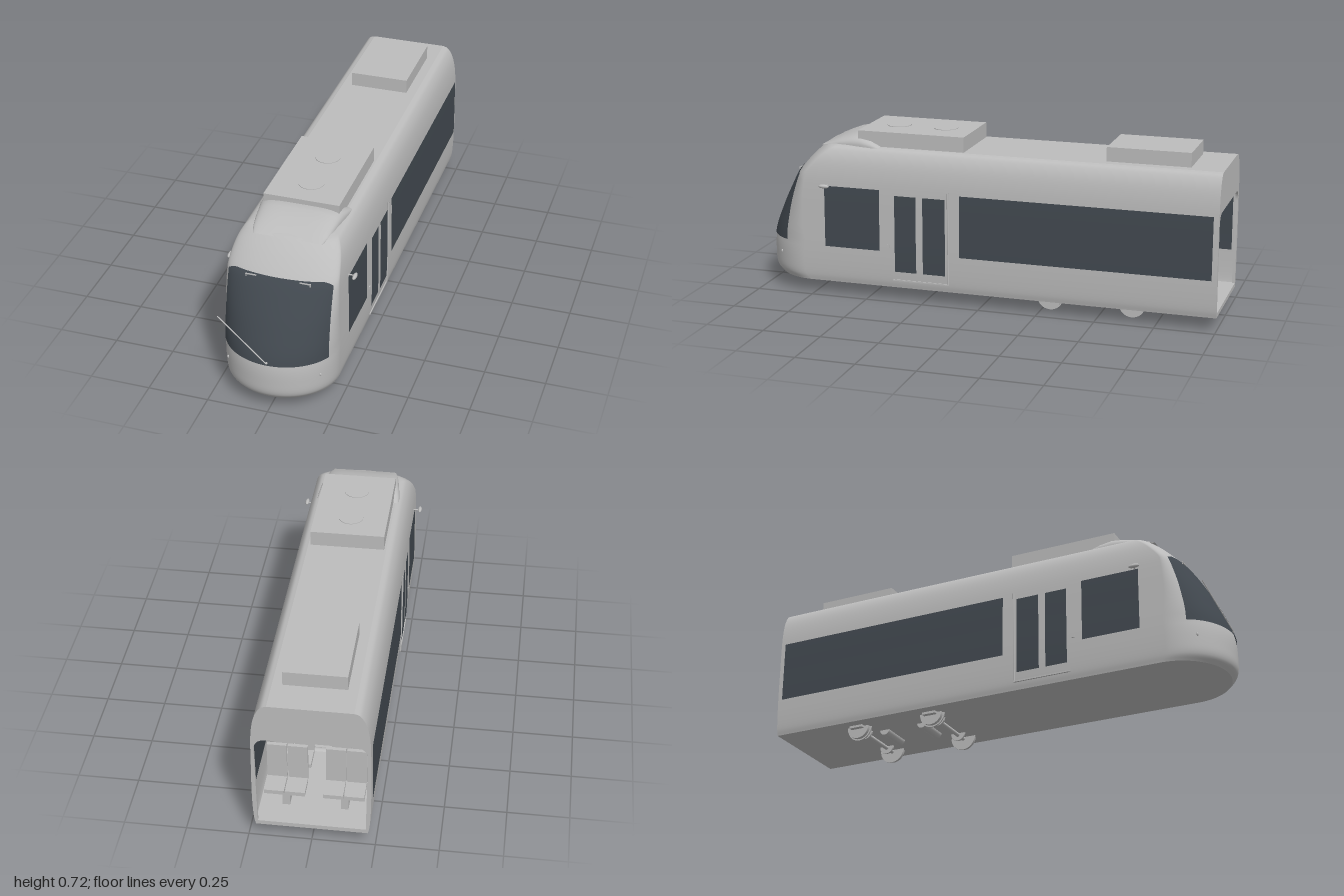
import * as THREE from 'three';

const mat = (name, color) => Object.assign(new THREE.MeshStandardMaterial({ color, side: THREE.DoubleSide }), { name });
const grey = mat('light grey', 0xbcbcbc);
const glass = mat('dark glass', 0x424950);

// Body profile: half-width, height, nose position; sampled from a smooth curve
const profile = new THREE.CatmullRomCurve3([
  [0.220, 0.057, 0.972], [0.226, 0.085, 0.995], [0.230, 0.14, 1.0], [0.232, 0.23, 0.993],
  [0.231, 0.35, 0.945], [0.230, 0.45, 0.892], [0.226, 0.53, 0.842], [0.215, 0.59, 0.79],
  [0.200, 0.625, 0.752], [0.185, 0.643, 0.728], [0.165, 0.65, 0.71],
].map(p => new THREE.Vector3(...p))).getPoints(50);

function at(y) {
  let i = 1;
  while (i < profile.length - 1 && profile[i].y < y) i++;
  const a = profile[i - 1], b = profile[i];
  const p = a.clone().lerp(b, THREE.MathUtils.clamp((y - a.y) / (b.y - a.y), 0, 1));
  // depth of the rounded nose in plan
  const depth = THREE.MathUtils.mapLinear(THREE.MathUtils.clamp(y, 0.23, 0.52), 0.23, 0.52, 0.21, 0.07);
  return { w: p.x, nose: p.z, depth };
}

// Surface from a rule f(u, v) -> [x, y, z]
function grid(nu, nv, f) {
  const pos = [], idx = [];
  for (let j = 0; j <= nv; j++) for (let i = 0; i <= nu; i++) pos.push(...f(i / nu, j / nv));
  for (let j = 0; j < nv; j++) for (let i = 0; i < nu; i++) {
    const a = j * (nu + 1) + i, b = a + nu + 1;
    idx.push(a, a + 1, b, a + 1, b + 1, b);
  }
  const g = new THREE.BufferGeometry();
  g.setAttribute('position', new THREE.Float32BufferAttribute(pos, 3));
  g.setIndex(idx);
  g.computeVertexNormals();
  return g;
}

// Plan outline at one height, from rear right round the nose to rear left
const ARC = 40;
function outline(y) {
  const { w, nose, depth } = at(y), pts = [[w, -1]];
  for (let i = 0; i <= ARC; i++) {
    const a = Math.PI * i / ARC;
    pts.push([w * Math.cos(a), nose - depth + depth * Math.sin(a)]);
  }
  pts.push([-w, -1]);
  return pts;
}

export function createModel() {
  const root = new THREE.Group();
  const add = (name, geo, m = grey, x = 0, y = 0, z = 0, parent = root) => {
    const mesh = new THREE.Mesh(geo, m);
    mesh.name = name;
    mesh.position.set(x, y, z);
    parent.add(mesh);
    return mesh;
  };
  const box = (name, w, h, d, x, y, z, parent) => add(name, new THREE.BoxGeometry(w, h, d), grey, x, y, z, parent);
  const rod = (name, a, b, r) => add(name, new THREE.TubeGeometry(
    new THREE.LineCurve3(new THREE.Vector3(...a), new THREE.Vector3(...b)), 1, r, 8));

  // Body shell with roof and underside
  const rings = profile.map(p => outline(p.y));
  add('bodyShell', grid(ARC + 2, profile.length - 1, (u, v) => {
    const j = Math.round(v * (profile.length - 1)), p = rings[j][Math.round(u * (ARC + 2))];
    return [p[0], profile[j].y, p[1]];
  }));
  for (const [name, y] of [['underside', 0.057], ['roof', 0.65]]) {
    const shape = new THREE.Shape(outline(y).map(p => new THREE.Vector2(p[0], -p[1])));
    add(name, new THREE.ShapeGeometry(shape).rotateX(-Math.PI / 2), grey, 0, y, 0);
  }

  // Open rear frame
  const side = profile.map(p => new THREE.Vector2(p.x, p.y));
  const rear = new THREE.Shape([...side, ...side.map(p => new THREE.Vector2(-p.x, p.y)).reverse()]);
  const hole = new THREE.Path();
  hole.moveTo(-0.212, 0.075).lineTo(0.212, 0.075).lineTo(0.218, 0.44);
  hole.quadraticCurveTo(0.217, 0.485, 0.17, 0.487).lineTo(-0.17, 0.487);
  hole.quadraticCurveTo(-0.217, 0.485, -0.218, 0.44).lineTo(-0.212, 0.075);
  rear.holes.push(hole);
  add('rearFrame', new THREE.ExtrudeGeometry(rear, { depth: 0.012, bevelEnabled: false }), grey, 0, 0, -1);
  box('cabinFloor', 0.44, 0.01, 1.74, 0, 0.07, -0.12);
  box('ceiling', 0.445, 0.008, 1.6, 0, 0.492, -0.19);

  // Windscreen, seen from outside and inside
  for (const off of [0.004, -0.006]) {
    add('windscreen', grid(40, 24, (u, v) => {
      const x = 0.211 * (2 * u - 1);
      const corner = Math.max(0, (Math.abs(x) / 0.211 - 0.8) / 0.2) ** 2;
      const y = THREE.MathUtils.lerp(0.225, 0.533 - 0.015 * corner, v);
      const { w, nose, depth } = at(y);
      const c = Math.sqrt(1 - (x / w) ** 2);
      return [x * (1 + off * 2), y, nose - depth + depth * c + off];
    }), glass);
  }
  for (const s of [-1, 1]) {
    box('screenTab', 0.045, 0.004, 0.004, s * 0.11, 0.526, 0.843);
    box('screenTabEnd', 0.004, 0.014, 0.004, s * 0.13, 0.522, 0.843);
  }
  rod('wiperArm', [-0.213, 0.38, 0.95], [0, 0.235, 1.0], 0.0025);
  add('wiperPivot', new THREE.SphereGeometry(0.005, 10, 8), grey, 0, 0.235, 0.996);

  // Conforming panel on one side wall
  const panel = (name, s, z0, z1, y0, y1, off, m) => add(name, grid(1, 12, (u, v) => {
    const y = THREE.MathUtils.lerp(y0, y1, v);
    return [s * (at(y).w + off), y, THREE.MathUtils.lerp(z0, z1, u)];
  }), m);

  for (const s of [-1, 1]) {
    // Side windows and doors
    panel('doorPanel', s, 0.13, 0.385, 0.092, 0.485, 0.002, grey);
    for (const off of [0.004, -0.004]) {
      panel('longWindow', s, -0.978, 0.085, 0.217, 0.482, off, glass);
      panel('cabWindow', s, 0.44, 0.688, 0.217, 0.482, off, glass);
      panel('doorWindow', s, 0.148, 0.247, 0.13, 0.462, off, glass);
      panel('doorWindow', s, 0.277, 0.372, 0.13, 0.462, off, glass);
    }
    rod('doorPost', [s * 0.231, 0.095, 0.135], [s * 0.234, 0.49, 0.135], 0.004);
    box('doorSill', 0.008, 0.006, 0.25, s * 0.229, 0.092, 0.257);
    box('doorButton', 0.008, 0.012, 0.012, s * 0.233, 0.24, 0.4);

    // Mirrors and marker lamps
    rod('mirrorArm', [s * 0.226, 0.485, 0.675], [s * 0.257, 0.485, 0.675], 0.003);
    add('mirror', new THREE.SphereGeometry(0.0085, 16, 12).scale(1, 1, 2.8), grey, s * 0.257, 0.485, 0.68);
    const b = at(0.163);
    add('frontLamp', new THREE.SphereGeometry(0.005, 12, 8).scale(1, 1.5, 0.8), grey,
      s * 0.19, 0.163, b.nose - b.depth + b.depth * Math.sqrt(1 - (0.19 / b.w) ** 2) + 0.002);
  }

  // Roof units, fans and front fairing
  box('frontRoofUnit', 0.312, 0.067, 0.47, 0, 0.681, 0.325);
  box('rearRoofUnit', 0.25, 0.062, 0.35, 0, 0.679, -0.687);
  for (const z of [0.22, 0.43]) add('roofFan', new THREE.CylinderGeometry(0.052, 0.052, 0.004, 32), grey, 0, 0.715, z);
  const ribs = [[0.73, 0.640, 0.14], [0.69, 0.660, 0.153], [0.64, 0.680, 0.162], [0.59, 0.691, 0.168],
    [0.55, 0.695, 0.174], [0.50, 0.68, 0.179], [0.45, 0.648, 0.181]];
  add('roofFairing', grid(24, ribs.length - 1, (u, v) => {
    const [z, top, w] = ribs[Math.round(v * (ribs.length - 1))], a = Math.PI * u;
    const c = Math.cos(a), k = Math.sin(a);
    return [w * Math.sign(c) * Math.abs(c) ** 0.5, 0.638 + (top - 0.638) * k ** 0.6, z];
  }));

  // Bogie: wheels, axles, brake discs and motors
  const drum = (name, r, len, x, y, z) =>
    add(name, new THREE.CylinderGeometry(r, r, len, 32).rotateZ(Math.PI / 2), grey, x, y, z);
  for (const z of [-0.285, -0.635]) {
    drum('axle', 0.009, 0.3, 0, 0.05, z);
    for (const s of [-1, 1]) {
      drum('wheel', 0.05, 0.02, s * 0.15, 0.056, z);
      drum('wheelFlange', 0.056, 0.006, s * 0.142, 0.056, z);
      drum('brakeDisc', 0.032, 0.008, s * 0.093, 0.056, z);
      box('axleBox', 0.024, 0.012, 0.06, s * 0.167, 0.053, z);
    }
  }
  for (const z of [-0.37, -0.55]) drum('motor', 0.022, 0.14, -0.01, 0.058, z);

  // Paired seats
  for (let i = 0; i < 6; i++) for (const s of [-1, 1]) {
    const seats = new THREE.Group();
    seats.name = 'seatPair';
    for (const x of [0.075, 0.158]) {
      box('seatCushion', 0.078, 0.018, 0.09, s * x, 0.165, -0.045, seats);
      box('seatBack', 0.078, 0.165, 0.016, s * x, 0.25, 0.005, seats);
    }
    box('seatPedestal', 0.03, 0.085, 0.05, s * 0.116, 0.115, -0.03, seats);
    seats.position.z = -0.84 + i * 0.17;
    root.add(seats);
  }
  return root;
}
